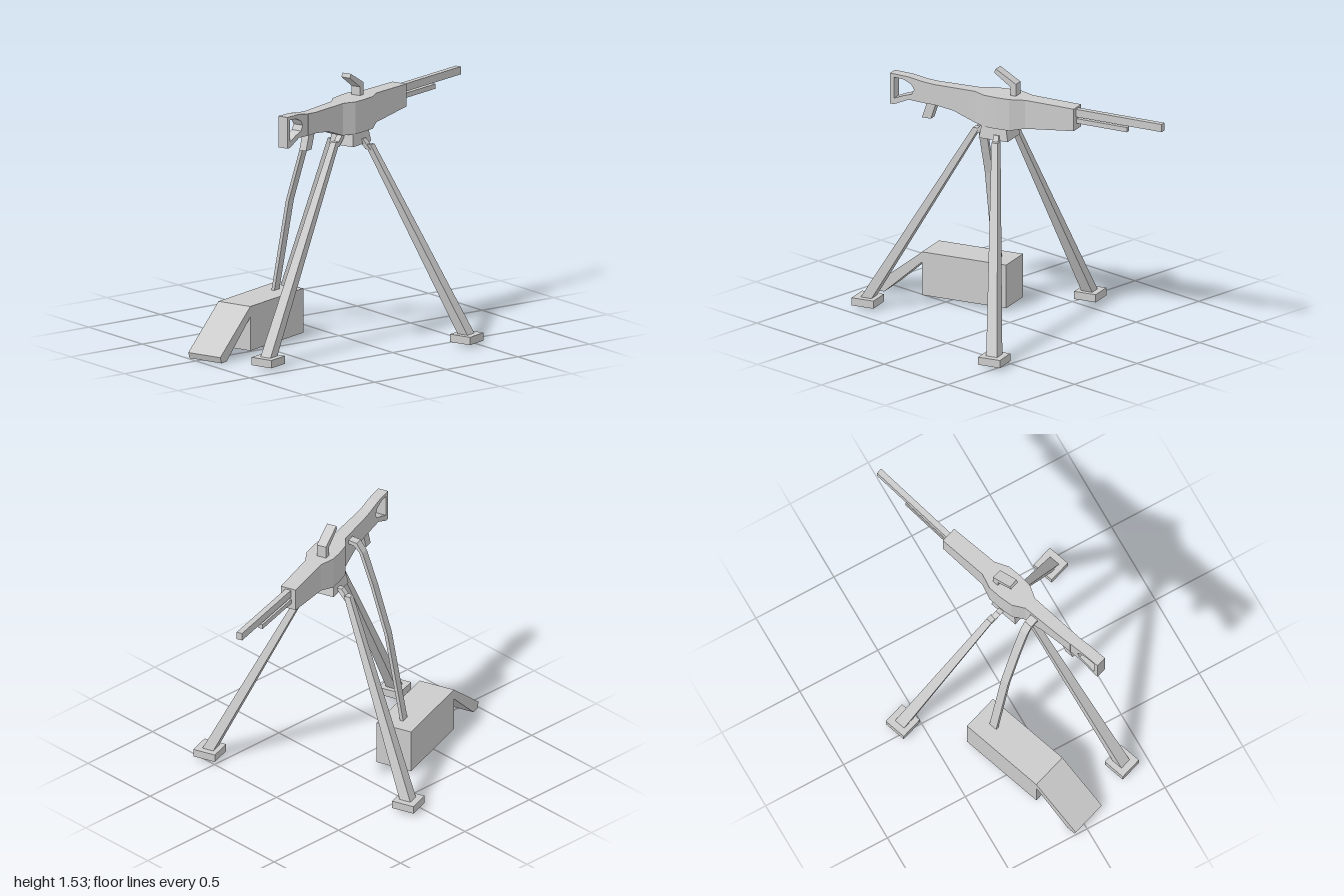
import * as THREE from 'three';

const YAW = 0.325; // everything shares one turned frame: local +z runs rearward along the gun
const LAT = 0.09; // gun centre line, local x
const mat = new THREE.MeshStandardMaterial({ color: 0xcccccc, flatShading: true, side: THREE.DoubleSide });

function add(parent, name, geo) {
  const m = new THREE.Mesh(geo, mat);
  m.name = name;
  parent.add(m);
  return m;
}

// Closed skin over a row of four-cornered sections
function loft(rings) {
  const p = [];
  const quad = (a, b, c, d) => [a, b, c, a, c, d].forEach((v) => p.push(...v));
  for (let r = 0; r < rings.length - 1; r++) {
    for (let i = 0; i < 4; i++) {
      const j = (i + 1) % 4;
      quad(rings[r][i], rings[r][j], rings[r + 1][j], rings[r + 1][i]);
    }
  }
  quad(...[...rings[0]].reverse());
  quad(...rings[rings.length - 1]);
  const g = new THREE.BufferGeometry();
  g.setAttribute('position', new THREE.Float32BufferAttribute(p, 3));
  g.computeVertexNormals();
  return g;
}

// Upright section across the gun, at z, for lofts running along +z
const crossRing = (x, z, bottom, top, hw) => [
  [x - hw, bottom, z], [x + hw, bottom, z], [x + hw, top, z], [x - hw, top, z],
];
// Level section at height y, for lofts running up
const levelRing = (x, y, z, hx, hz = hx) => [
  [x - hx, y, z + hz], [x + hx, y, z + hz], [x + hx, y, z - hz], [x - hx, y, z - hz],
];

const shapeOf = (pts) => new THREE.Shape(pts.map(([a, b]) => new THREE.Vector2(a, b)));

// Side profile given as (z, y), extruded across x and centred on x
function sidePlate(pts, x, width, hole) {
  const s = shapeOf(pts);
  if (hole) s.holes.push(new THREE.Path(hole.map(([a, b]) => new THREE.Vector2(a, b))));
  return new THREE.ExtrudeGeometry(s, { depth: width, bevelEnabled: false })
    .rotateY(-Math.PI / 2).translate(x + width / 2, 0, 0);
}

// World ground position to the turned frame
const toLocal = (x, z) => [
  x * Math.cos(YAW) - z * Math.sin(YAW),
  x * Math.sin(YAW) + z * Math.cos(YAW),
];

export function createModel() {
  const model = new THREE.Group();
  const frame = new THREE.Group();
  frame.name = 'turnedFrame';
  frame.rotation.y = YAW;
  model.add(frame);

  // Gun
  const gun = new THREE.Group();
  gun.name = 'gun';
  frame.add(gun);

  // Receiver stations: z, bottom, top, half width
  const stations = [
    [-0.465, 1.245, 1.375, 0.047],
    [-0.165, 1.215, 1.383, 0.05],
    [-0.08, 1.2, 1.385, 0.084],
    [0, 1.2, 1.385, 0.085],
    [0.08, 1.2, 1.385, 0.078],
    [0.15, 1.2, 1.385, 0.04],
    [0.29, 1.25, 1.385, 0.037],
    [0.41, 1.265, 1.385, 0.034],
    [0.48, 1.265, 1.39, 0.032],
  ];
  add(gun, 'receiver', loft(stations.map(([z, b, t, w]) => crossRing(LAT, z, b, t, w))));

  // Open shoulder stock
  add(gun, 'stock', sidePlate(
    [[0.48, 1.265], [0.57, 1.27], [0.66, 1.23], [0.685, 1.23], [0.685, 1.41], [0.57, 1.405], [0.48, 1.39]],
    LAT, 0.062,
    [[0.66, 1.39], [0.6, 1.385], [0.555, 1.365], [0.535, 1.335], [0.55, 1.305], [0.6, 1.29], [0.66, 1.265]],
  ));
  add(gun, 'grip', sidePlate([[0.4, 1.28], [0.455, 1.28], [0.49, 1.175], [0.435, 1.175]], LAT, 0.045));

  // Barrel and the shorter rod beneath it
  add(gun, 'barrel', loft([
    crossRing(0.115, -1.01, 1.32, 1.365, 0.017), crossRing(LAT, -0.45, 1.32, 1.365, 0.017),
  ]));
  add(gun, 'lowerRod', loft([
    crossRing(0.1, -0.785, 1.28, 1.308, 0.015), crossRing(0.085, -0.45, 1.28, 1.308, 0.015),
  ]));

  // Bent sight bracket
  add(gun, 'sight', sidePlate(
    [[-0.09, 1.38], [-0.055, 1.38], [-0.055, 1.435], [0.045, 1.505], [0.035, 1.528], [-0.09, 1.455]],
    0.076, 0.058,
  ));

  // Tripod
  const tripod = new THREE.Group();
  tripod.name = 'tripod';
  frame.add(tripod);
  add(tripod, 'mount', loft([
    levelRing(LAT, 1.13, 0.02, 0.08, 0.09), levelRing(LAT, 1.21, 0.02, 0.07, 0.075),
  ]));

  // Legs in world x, z: foot, then top with its height
  const legs = [
    ['rightLeg', -0.593, -0.048, -0.055, 0.005, 1.13],
    ['leftLeg', 0.585, -0.455, 0.185, -0.075, 1.13],
    ['rearLeg', 0.357, 0.762, 0.13, 0.125, 1.16],
  ];
  for (const [name, fx, fz, tx, tz, ty] of legs) {
    const [ax, az] = toLocal(fx, fz);
    const [bx, bz] = toLocal(tx, tz);
    const [cx, cz] = [bx + (LAT - bx) * 0.4, bz + (0.02 - bz) * 0.4];
    const leg = new THREE.Group();
    leg.name = name;
    tripod.add(leg);
    add(leg, 'strut', loft([levelRing(ax, 0.05, az, 0.034), levelRing(bx, ty, bz, 0.019)]));
    add(leg, 'hinge', loft([levelRing(bx, ty - 0.03, bz, 0.017), levelRing(cx, ty + 0.03, cz, 0.017)]));
    add(leg, 'footPad', new THREE.BoxGeometry(0.135, 0.045, 0.135)).position.set(ax, 0.038, az);
  }

  // Ammunition box with its lid hanging open
  const [kx, kz] = toLocal(-0.1475, 0.436);
  const front = kz + 0.261;
  add(frame, 'ammoBox', new THREE.BoxGeometry(0.217, 0.255, 0.522)).position.set(kx, 0.1425, kz);
  add(frame, 'openLid', sidePlate(
    [[0, 0.27], [0, 0.21], [0.235, 0], [0.285, 0], [0.297, 0.035]].map(([z, y]) => [front + z, y]),
    kx, 0.217,
  ));

  // Feed belt rising from the box into the side of the receiver
  const belt = [
    [-0.285, 0.265], [-0.186, 0.8], [-0.095, 1.1], [-0.028, 1.29], [0.01, 1.335], [0.075, 1.345],
  ];
  const t = 0.01;
  const outer = belt.map(([x, y], i) => [x - t, i > 3 ? y + t : y]);
  const inner = belt.map(([x, y], i) => [x + t, i > 3 ? y - t : y]).reverse();
  add(frame, 'feedBelt', new THREE.ExtrudeGeometry(shapeOf([...inner.reverse(), ...outer.reverse()]), {
    depth: 0.05, bevelEnabled: false,
  }).translate(0, 0, 0.19));

  return model;
}
